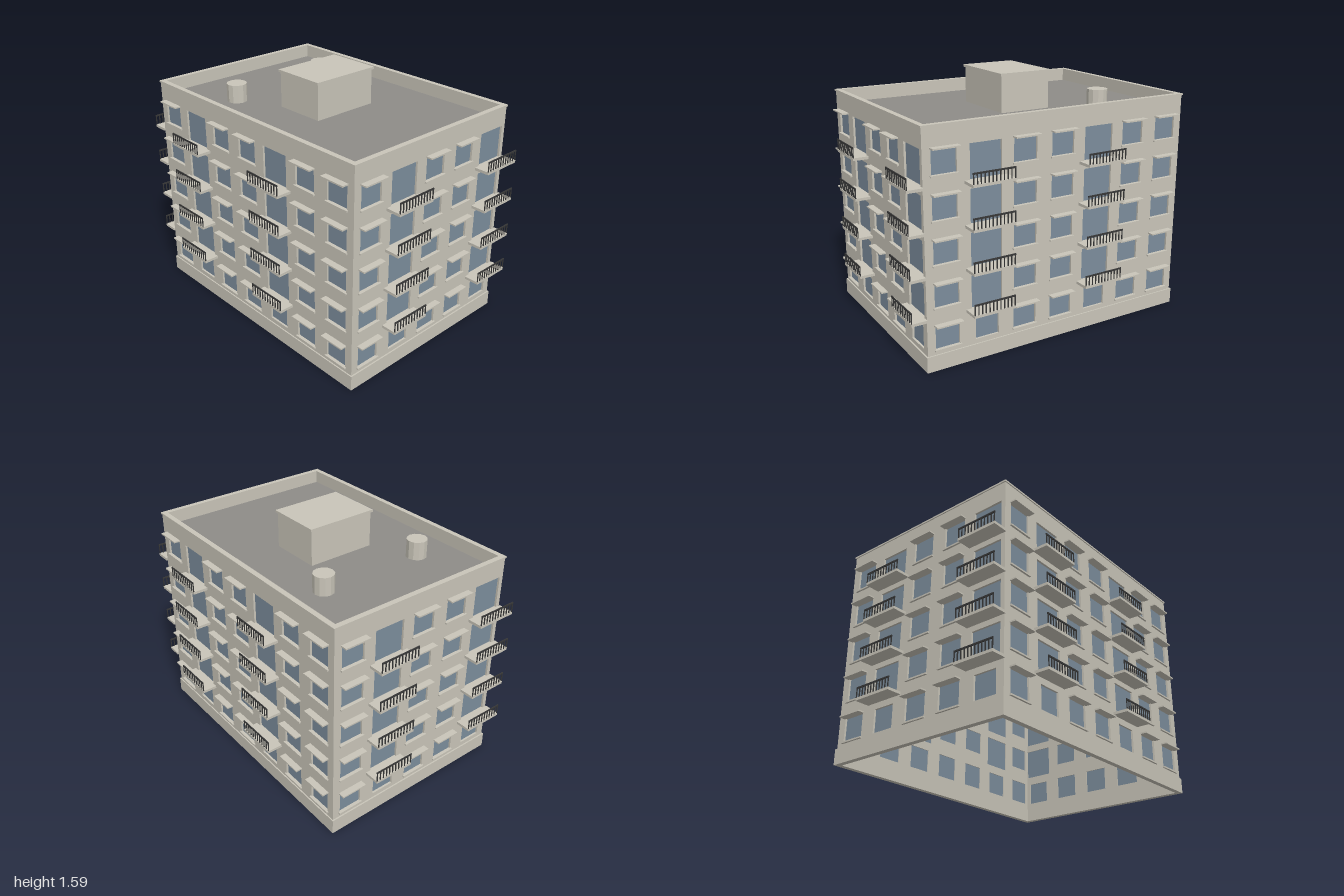
import * as THREE from 'three';

const mat = (name, color, side = THREE.FrontSide) => {
  const m = new THREE.MeshStandardMaterial({ color, side });
  m.name = name;
  return m;
};

export function createModel() {
  const stone = mat('stone', 0xc9c5b9);
  const glass = mat('glass', 0x7c8d9c);
  const roofGrey = mat('roofGrey', 0x8e8c88);
  const railMetal = mat('railMetal', 0x383838);

  const HX = 0.64, HZ = 0.902;           // half width and half depth of the walls
  const T = 0.025, WALL_TOP = 1.42, ROOF_Y = 1.345;
  const FLOORS = 5, STOREY = 0.256, OUT = 0.098;

  const model = new THREE.Group();
  model.name = 'apartmentBlock';

  const add = (parent, name, geometry, material, x = 0, y = 0, z = 0) => {
    const mesh = new THREE.Mesh(geometry, material);
    mesh.name = name;
    mesh.position.set(x, y, z);
    parent.add(mesh);
    return mesh;
  };
  const box = (parent, name, material, w, h, d, x, y, z) =>
    add(parent, name, new THREE.BoxGeometry(w, h, d), material, x, y, z);

  const rectPath = (target, x0, y0, x1, y1) => {
    target.moveTo(x0, y0);
    target.lineTo(x1, y0);
    target.lineTo(x1, y1);
    target.lineTo(x0, y1);
    target.closePath();
    return target;
  };

  // Rectangular ring lying flat, bottom at y
  const ring = (name, ox, oz, ix, iz, y, h) => {
    const shape = rectPath(new THREE.Shape(), -ox, -oz, ox, oz);
    shape.holes.push(rectPath(new THREE.Path(), -ix, -iz, ix, iz));
    const geo = new THREE.ExtrudeGeometry(shape, { depth: h, bevelEnabled: false });
    geo.rotateX(-Math.PI / 2);
    add(model, name, geo, stone, 0, y, 0);
  };

  // Balcony slab with a barred railing along its outer edge
  const balcony = (parent, x, y) => {
    const g = new THREE.Group();
    g.name = 'balcony';
    g.position.set(x, y, 0);
    parent.add(g);
    const w = 0.272, bars = 12, z = OUT - 0.003;
    box(g, 'balconySlab', stone, w, 0.017, OUT, 0, 0.0085, OUT / 2);
    box(g, 'handrail', railMetal, w, 0.01, 0.006, 0, 0.079, z);
    for (let i = 0; i < bars; i++) {
      const bx = -w / 2 + 0.004 + (i * (w - 0.008)) / (bars - 1);
      box(g, 'railBar', railMetal, 0.006, 0.058, 0.005, bx, 0.046, z);
    }
  };

  // One facade: its outer face is local z = 0, facing +z
  const facade = (name, columns, half, trim, distance, angle) => {
    const g = new THREE.Group();
    g.name = name;
    g.rotation.y = angle;
    g.position.set(Math.sin(angle) * distance, 0, Math.cos(angle) * distance);
    model.add(g);

    const wall = rectPath(new THREE.Shape(), -half + trim, 0, half - trim, WALL_TOP);
    const pitch = (2 * half) / columns;
    for (let c = 0; c < columns; c++) {
      const x = -half + pitch * (c + 0.5);
      const balconyColumn = c === 1 || c === 4;
      for (let f = 0; f < FLOORS; f++) {
        const base = f * STOREY;
        const door = balconyColumn && f > 0;
        const w = door ? 0.202 : 0.154;
        const y0 = base + (door ? 0.073 : 0.127);
        const y1 = base + (balconyColumn && !door ? 0.273 : 0.278);
        wall.holes.push(rectPath(new THREE.Path(), x - w / 2, y0, x + w / 2, y1));
        box(g, door ? 'balconyDoor' : 'windowPane', glass,
          w, y1 - y0, 0.006, x, (y0 + y1) / 2, -0.016);
        if (door) balcony(g, x, base + 0.056);
        if (!balconyColumn) {
          box(g, 'windowHood', stone, 0.17, 0.009, 0.042, x, base + 0.281, 0.021);
          box(g, 'windowSill', stone, 0.17, 0.01, 0.022, x, base + 0.126, 0.001);
        }
      }
    }
    const geo = new THREE.ExtrudeGeometry(wall, { depth: T, bevelEnabled: false });
    add(g, 'wall', geo, stone, 0, 0, -T);
  };

  facade('frontFacade', 5, HX, 0, HZ, 0);
  facade('leftFacade', 7, HZ, T, HX, Math.PI / 2);
  facade('backFacade', 5, HX, 0, HZ, Math.PI);
  facade('rightFacade', 7, HZ, T, HX, -Math.PI / 2);

  // Plinth and parapet cap
  ring('plinth', HX + 0.008, HZ + 0.009, HX - 0.005, HZ - 0.005, 0, 0.098);
  ring('parapetCap', HX + 0.006, HZ + 0.006, HX - T - 0.003, HZ - T - 0.003, WALL_TOP, 0.011);

  // Sunken flat roof
  box(model, 'roof', roofGrey, 2 * (HX - T), 0.012, 2 * (HZ - T), 0, ROOF_Y - 0.006, 0);

  // Stair house with its cap
  box(model, 'stairHouse', stone, 0.452, 1.572 - ROOF_Y, 0.34, 0, (1.572 + ROOF_Y) / 2, 0);
  box(model, 'stairHouseCap', stone, 0.472, 0.015, 0.36, 0, 1.5795, 0);

  // Roof vents
  for (const s of [-1, 1]) {
    const geo = new THREE.CylinderGeometry(0.065, 0.065, 1.461 - ROOF_Y, 12).toNonIndexed();
    geo.computeVertexNormals();
    add(model, 'roofVent', geo, stone, s * 0.357, (1.461 + ROOF_Y) / 2, -0.453);
  }

  return model;
}
